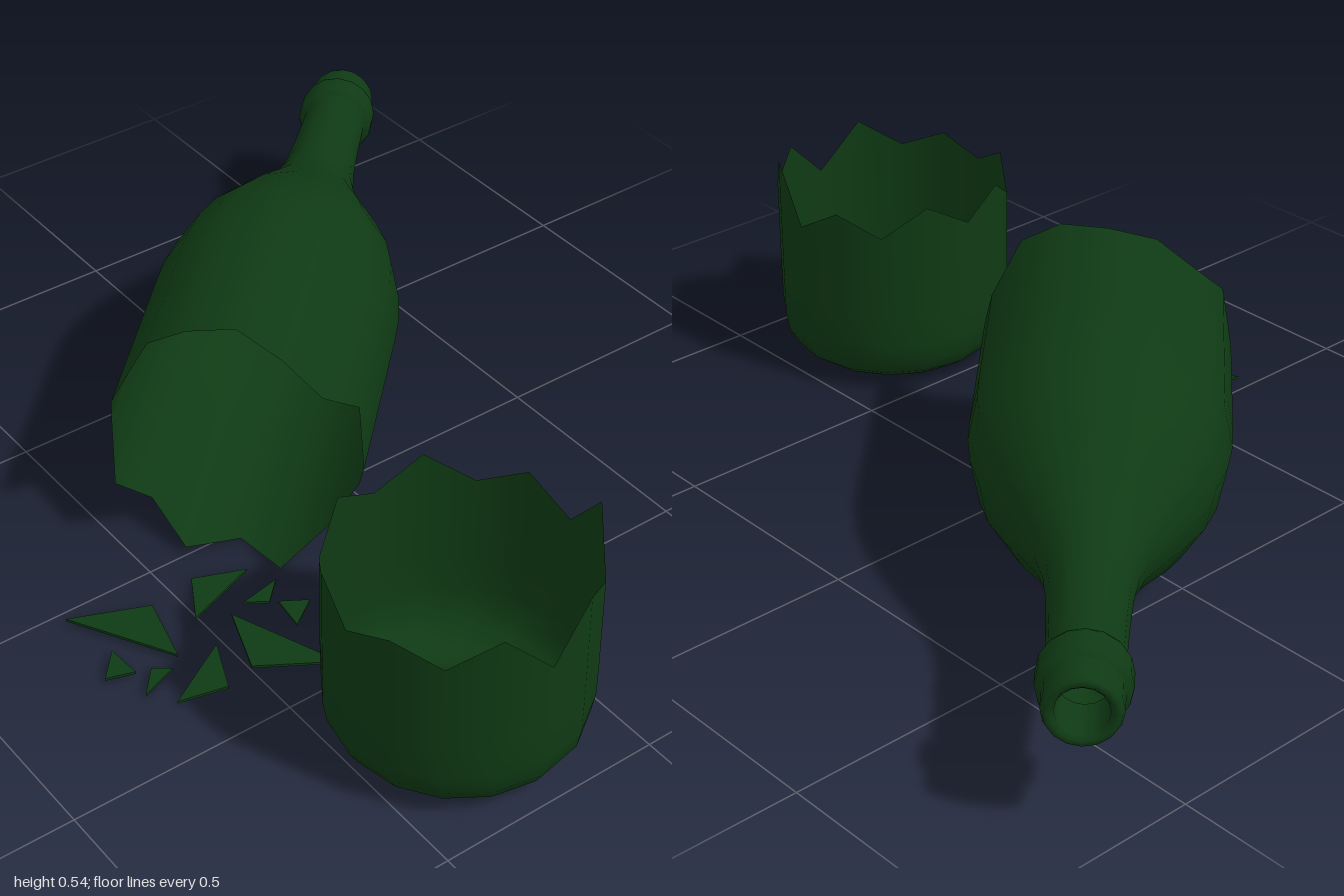
import * as THREE from 'three';

const SIDES = 16;
const glass = new THREE.MeshStandardMaterial({ color: 0x0f3a14, side: THREE.DoubleSide });

// Turned glass whose last ring is broken: rim[k] is its height at k * 22.5 degrees
function brokenLathe(profile, rim, indexOf) {
  const points = profile.map(([r, y]) => new THREE.Vector2(r, y));
  const geo = new THREE.LatheGeometry(points, SIDES);
  const pos = geo.attributes.position;
  for (let i = 0; i <= SIDES; i++) {
    const k = (indexOf(i) + SIDES * 2) % SIDES;
    pos.setY(i * points.length + points.length - 1, rim[k]);
  }
  return geo;
}

function add(group, name, geo) {
  const mesh = new THREE.Mesh(geo, glass);
  mesh.name = name;
  group.add(mesh);
  return mesh;
}

export function createModel() {
  const group = new THREE.Group();
  group.name = 'brokenBottle';

  // Neck and body lying on its side, profile runs from mouth to broken edge
  const bodyProfile = [
    [0.05, 0.1], [0.05, 0.01], [0.058, 0], [0.07, 0.003], [0.075, 0.015], [0.075, 0.065],
    [0.077, 0.07], [0.087, 0.075], [0.089, 0.085], [0.089, 0.13], [0.085, 0.14], [0.073, 0.145],
    [0.077, 0.27], [0.082, 0.36], [0.091, 0.43], [0.112, 0.5], [0.15, 0.58], [0.196, 0.67],
    [0.235, 0.76], [0.26, 0.85], [0.27, 0.93], [0.272, 1.0], [0.272, 1.25], [0.272, 1.4],
  ];
  const bodyRim = [1.45, 1.38, 1.475, 1.44, 1.38, 1.375, 1.35, 1.44,
    1.37, 1.45, 1.38, 1.46, 1.39, 1.495, 1.41, 1.37];
  const body = add(group, 'neckAndBody', brokenLathe(bodyProfile, bodyRim, (i) => i - 4));
  const axis = new THREE.Vector3(0.698, 0, 0.716).normalize();
  const side = new THREE.Vector3(axis.z, 0, -axis.x);
  body.quaternion.setFromRotationMatrix(
    new THREE.Matrix4().makeBasis(side, axis, new THREE.Vector3(0, -1, 0)));
  body.position.set(-0.945, 0.275, -0.71);

  // Upright base with a punt pushed up into its floor
  const baseProfile = [
    [0, 0.085], [0.05, 0.078], [0.095, 0.055], [0.13, 0.022], [0.155, 0.012], [0.18, 0.012],
    [0.21, 0.02], [0.24, 0.042], [0.26, 0.075], [0.268, 0.12], [0.269, 0.2], [0.269, 0.4],
  ];
  const baseRim = [0.36, 0.465, 0.4, 0.44, 0.4, 0.455, 0.4, 0.465,
    0.41, 0.47, 0.4, 0.45, 0.39, 0.515, 0.41, 0.46];
  const base = add(group, 'bottleBase', brokenLathe(baseProfile, baseRim, (i) => 4 - i));
  base.position.set(0.73, 0, 0.265);

  // Flat triangular splinters on the ground, corners as x, z
  const shards = [
    [0.125, 0.34, 0.08, 0.45, 0.185, 0.51],
    [0.187, 0.31, 0.205, 0.405, 0.235, 0.36],
    [0.28, 0.29, 0.245, 0.345, 0.325, 0.355],
    [0.465, 0.35, 0.22, 0.445, 0.37, 0.5],
    [0.1, 0.56, 0.255, 0.6, 0.03, 0.725],
    [0.275, 0.52, 0.39, 0.57, 0.365, 0.675],
    [0.28, 0.63, 0.255, 0.665, 0.312, 0.715],
    [0.165, 0.7, 0.245, 0.695, 0.225, 0.755],
  ];
  const splinters = new THREE.Group();
  splinters.name = 'splinters';
  group.add(splinters);
  for (const [ax, az, bx, bz, cx, cz] of shards) {
    const shape = new THREE.Shape([
      new THREE.Vector2(ax, -az), new THREE.Vector2(bx, -bz), new THREE.Vector2(cx, -cz)]);
    const geo = new THREE.ExtrudeGeometry(shape, { depth: 0.006, bevelEnabled: false });
    geo.rotateX(-Math.PI / 2);
    add(splinters, 'splinter', geo).position.y = 0.01;
  }
  return group;
}
